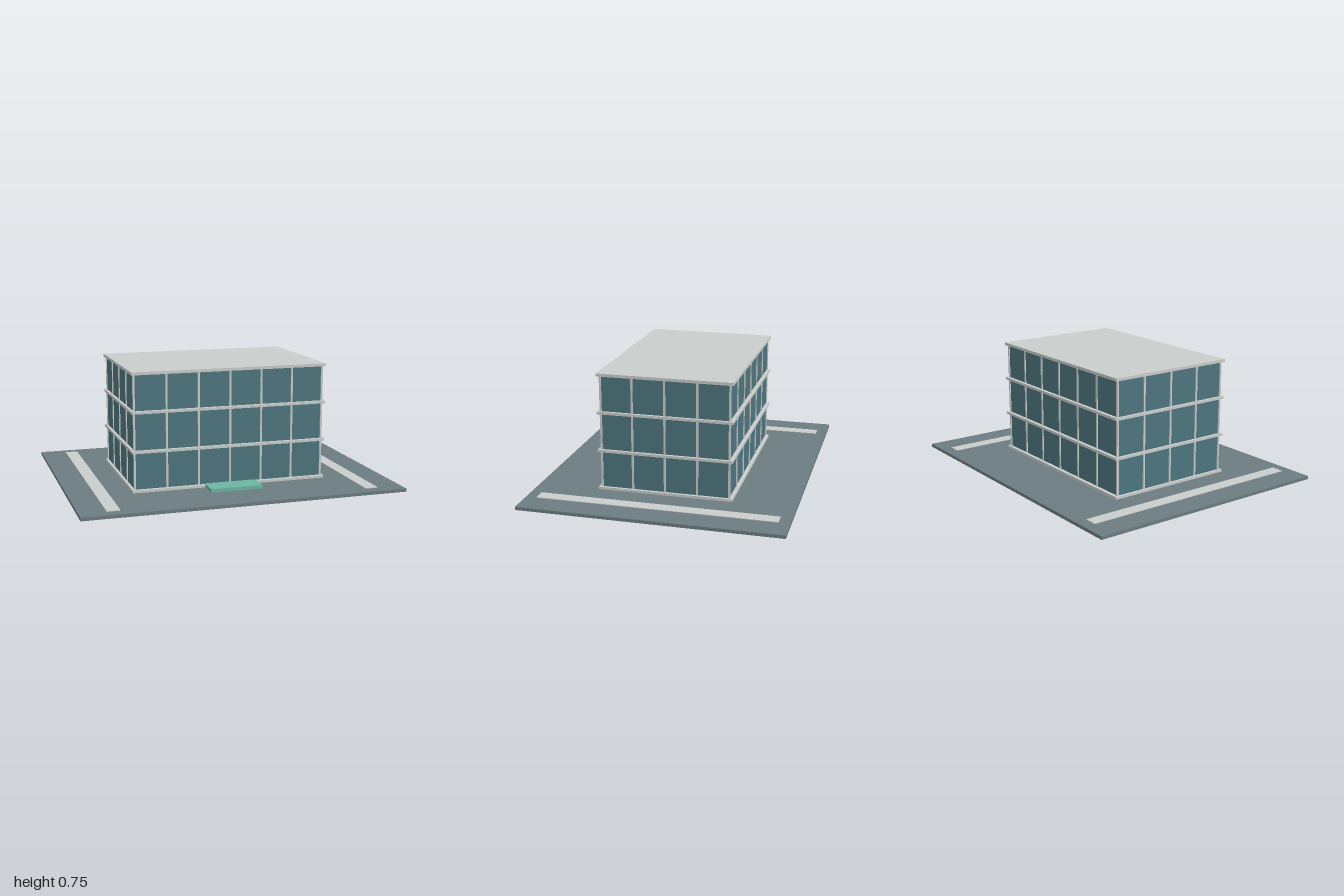
import * as THREE from 'three';

function material(name, color) {
  const m = new THREE.MeshStandardMaterial({ color });
  m.name = name;
  return m;
}

export function createModel() {
  const model = new THREE.Group();
  model.name = 'officeBuilding';
  const concrete = material('pale concrete', 0xc8ccca);
  const paving = material('grey paving', 0x6b7c81);
  const glass = material('teal glass', 0x4d757e);
  const green = material('green step', 0x6cb5a1);

  // Box given by its centre in x and z and by its bottom and top heights
  function box(name, mat, w, d, y0, y1, x = 0, z = 0) {
    const mesh = new THREE.Mesh(new THREE.BoxGeometry(w, y1 - y0, d), mat);
    mesh.position.set(x, (y0 + y1) / 2, z);
    mesh.name = name;
    model.add(mesh);
  }

  // Plot with a pale strip on each side
  box('ground', paving, 2, 1.6, 0, 0.02);
  for (const s of [-1, 1]) box('sideStrip', concrete, 0.08, 1.464, 0.02, 0.024, s * 0.8);

  // Floor slabs and roof, with a glazed storey above each floor
  const floors = [0.021, 0.261, 0.501];
  floors.forEach((y, i) => {
    const top = i < 2 ? floors[i + 1] : 0.735;
    box('floorSlab', concrete, 1.234, 0.834, y, y + 0.016);
    box('glazing', glass, 1.2, 0.79, y + 0.016, top);

    // Mullions on the front and back
    for (let k = -3; k <= 3; k++)
      for (const s of [-1, 1])
        box('mullion', concrete, 0.012, 0.012, y + 0.016, top, k * 0.2, s * 0.395);

    // Mullions on the two ends
    for (let k = -1; k <= 1; k++)
      for (const s of [-1, 1])
        box('endMullion', concrete, 0.012, 0.012, y + 0.016, top, s * 0.6, k * 0.2);
  });
  box('roof', concrete, 1.234, 0.834, 0.735, 0.753);

  // Entrance step
  box('entranceStep', green, 0.328, 0.137, 0.02, 0.042, 0, 0.47);

  return model;
}
